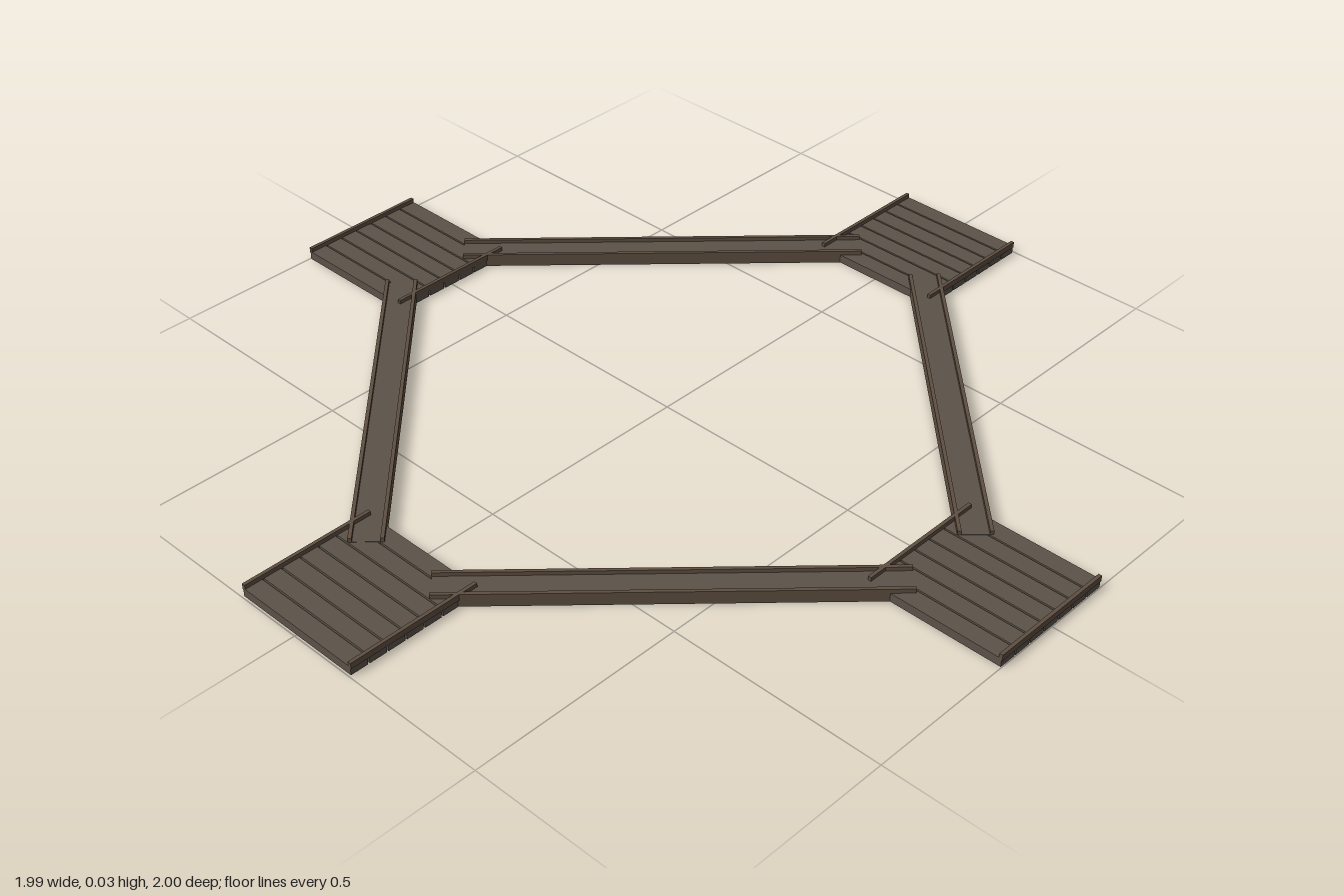
import * as THREE from 'three';

const deckMat = new THREE.MeshStandardMaterial({ color: 0x5c5349 });
const railMat = new THREE.MeshStandardMaterial({ color: 0x5f4f42 });

const DECK = 0.02;    // deck thickness
const TOP = 0.03;     // top of the rails
const CENTRE = 0.84;  // distance of each platform from the middle

function box(name, mat, w, h, d, x, y, z) {
  const mesh = new THREE.Mesh(new THREE.BoxGeometry(w, h, d), mat);
  mesh.name = name;
  mesh.position.set(x, y, z);
  return mesh;
}

// Square landing: seven planks along z, a low rail across both plank ends
function platform(x, z) {
  const g = new THREE.Group();
  g.name = 'platform';
  const count = 7, width = 0.31, depth = 0.32, gap = 0.004;
  const pitch = (width + gap) / count;
  for (let i = 0; i < count; i++) {
    const px = (i - (count - 1) / 2) * pitch;
    g.add(box('plank', deckMat, pitch - gap, DECK, depth - 0.004, px, DECK / 2, 0));
  }
  for (const s of [-1, 1]) {
    g.add(box('platformRail', railMat, width, TOP - DECK + 0.004, 0.008,
      0, (TOP + DECK - 0.004) / 2, s * (depth / 2 - 0.004)));
  }
  g.position.set(x, 0, z);
  return g;
}

// Diagonal walkway with a raised rail along each side
function walkway(sx, sz) {
  const g = new THREE.Group();
  g.name = 'walkway';
  const length = 0.92, width = 0.072, rail = 0.008;
  g.add(box('walkwayDeck', deckMat, length, DECK + 0.001, width - rail, 0, (DECK + 0.001) / 2, 0));
  for (const s of [-1, 1]) {
    g.add(box('walkwayRail', railMat, length, TOP, rail, 0, TOP / 2, s * (width - rail) / 2));
  }
  g.position.set(sx * CENTRE / 2, 0, sz * CENTRE / 2);
  g.rotation.y = sx * sz * Math.PI / 4;
  return g;
}

export function createModel() {
  const model = new THREE.Group();
  model.name = 'walkwayRing';
  for (const s of [-1, 1]) {
    model.add(platform(s * CENTRE, 0), platform(0, s * CENTRE));
    model.add(walkway(s, 1), walkway(s, -1));
  }
  return model;
}
